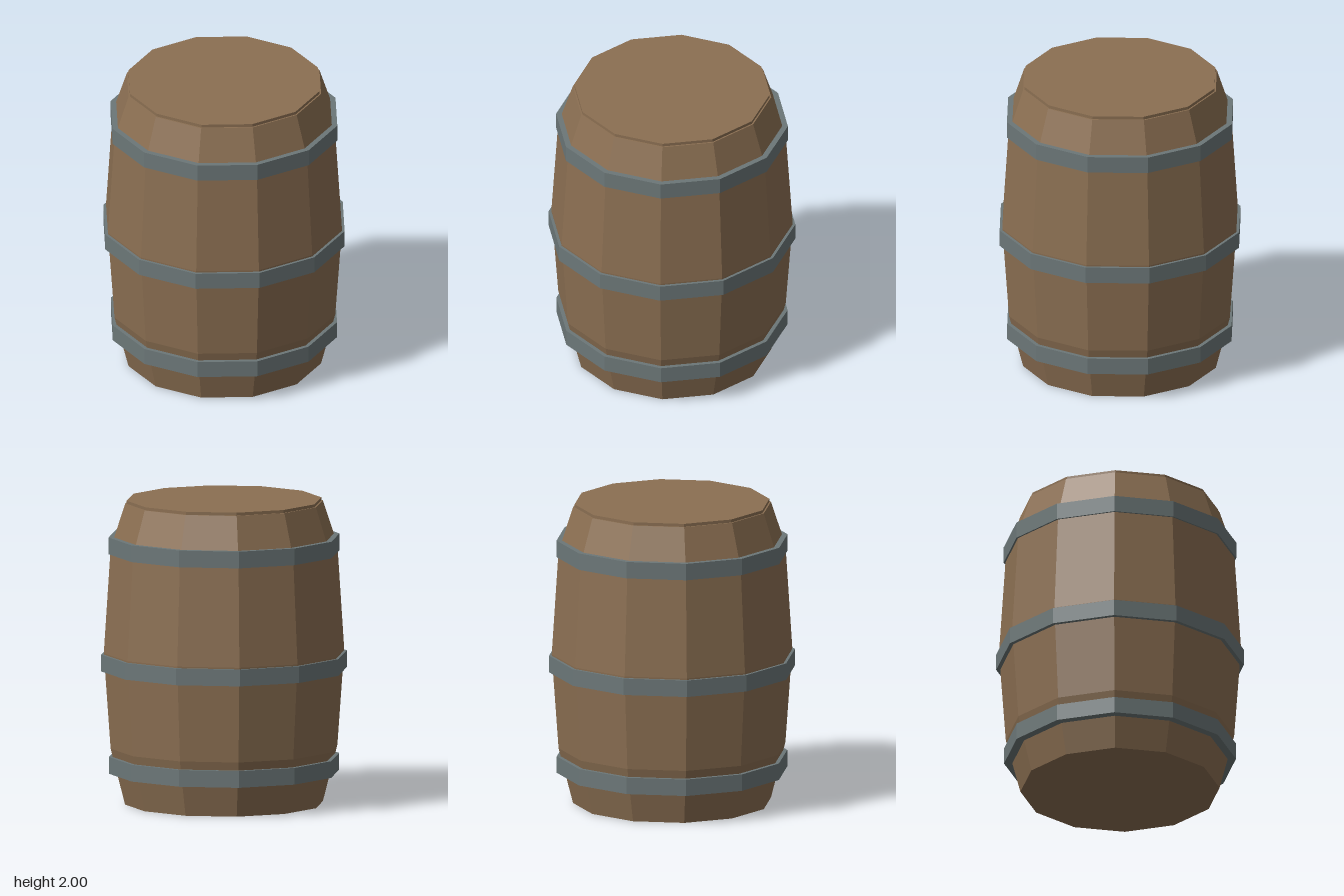
import * as THREE from 'three';

const SIDES = 12;

// Faceted body of revolution; the profile runs [radius, y] from bottom to top
function facetedLathe(name, profile, material) {
  const points = profile.map(([r, y]) => new THREE.Vector2(r, y));
  const geometry = new THREE.LatheGeometry(points, SIDES).toNonIndexed();
  geometry.computeVertexNormals();
  const mesh = new THREE.Mesh(geometry, material);
  mesh.name = name;
  return mesh;
}

export function createModel() {
  const wood = new THREE.MeshStandardMaterial({ color: 0x8b6f52 });
  wood.name = 'wood';
  const steel = new THREE.MeshStandardMaterial({ color: 0x6c7778 });
  steel.name = 'steel';

  const barrel = new THREE.Group();
  barrel.name = 'barrel';

  // Bulging body with a closed bottom
  barrel.add(facetedLathe('body', [
    [0, 0], [0.65, 0], [0.745, 0.37], [0.79, 1], [0.745, 1.69], [0.65, 1.98], [0.63, 1.98],
  ], wood));

  // Slightly inset lid
  barrel.add(facetedLathe('lid', [[0.64, 1.98], [0.64, 2], [0, 2]], wood));

  // Three hoops: name, bottom, top, inner and outer radius
  for (const [name, y0, y1, inner, outer] of [
    ['lowerHoop', 0.205, 0.315, 0.69, 0.757],
    ['middleHoop', 0.88, 0.99, 0.76, 0.808],
    ['upperHoop', 1.65, 1.76, 0.7, 0.759],
  ]) {
    barrel.add(facetedLathe(name, [[inner, y0], [outer, y0], [outer, y1], [inner, y1]], steel));
  }
  return barrel;
}
